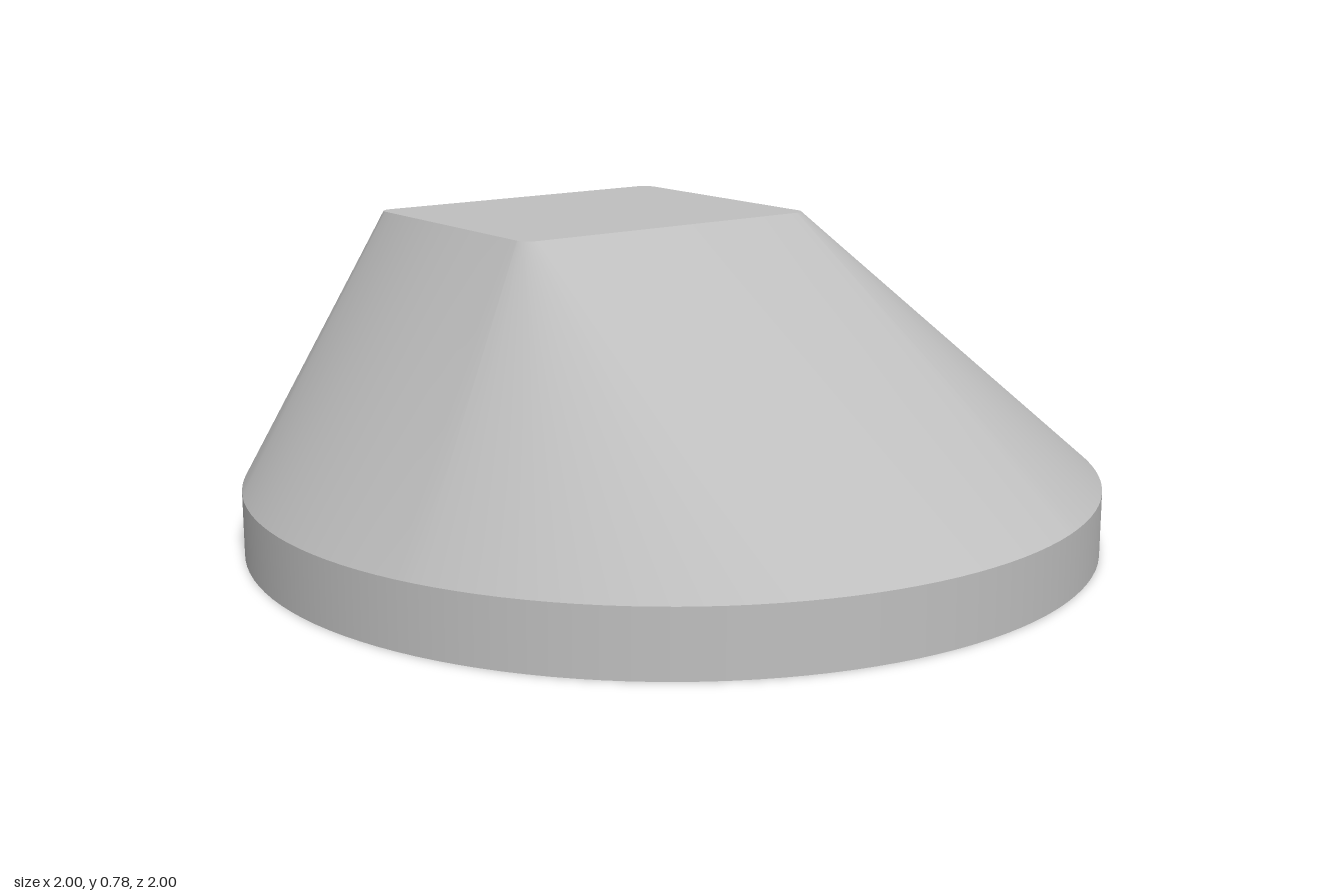
import * as THREE from 'three';

const STEPS = 16; // samples along each straight side and each corner
const BASE_H = 0.15, TOP_Y = 0.78;
const X0 = -0.6, X1 = 0.15, Z = 0.3, R = 0.03;

// Rounded rectangle matched to a circle: eight spans of 45 degrees each
function makeRings() {
  const cx = [X1 - R, X0 + R, X0 + R, X1 - R];
  const cz = [Z - R, Z - R, -Z + R, -Z + R];
  const bottom = [], top = [];
  const onCorner = (k, a) => [cx[k] + R * Math.cos(a), TOP_Y, cz[k] + R * Math.sin(a)];
  for (let k = 0; k < 4; k++) {
    const a0 = k * Math.PI / 2;
    const a1 = a0 + Math.PI / 2;
    const from = onCorner(k, a1), to = onCorner((k + 1) % 4, a1);
    for (let i = 0; i < 2 * STEPS; i++) {
      const angle = a0 + Math.PI / 8 + (i / STEPS) * Math.PI / 4;
      bottom.push([Math.cos(angle), BASE_H, Math.sin(angle)]);
      const s = (i - STEPS) / STEPS;
      top.push(i < STEPS
        ? onCorner(k, a0 + (i / STEPS) * Math.PI / 2)
        : from.map((v, j) => v + (to[j] - v) * s));
    }
  }
  return { bottom, top };
}

function toGeometry(points, index) {
  const g = new THREE.BufferGeometry();
  g.setAttribute('position', new THREE.Float32BufferAttribute(points.flat(), 3));
  g.setIndex(index);
  g.computeVertexNormals();
  return g;
}

export function createModel() {
  const group = new THREE.Group();
  group.name = 'offsetHood';
  const grey = new THREE.MeshStandardMaterial({ color: 0xbfbfbf });
  grey.name = 'grey';
  const add = (name, geometry) => {
    const mesh = new THREE.Mesh(geometry, grey);
    mesh.name = name;
    group.add(mesh);
    return mesh;
  };

  // Round rim with a closed underside
  add('baseRim', new THREE.CylinderGeometry(1, 1, BASE_H, 8 * STEPS)).position.y = BASE_H / 2;

  // Sloping walls from the circle to the off-centre rectangle
  const { bottom, top } = makeRings();
  const n = top.length;
  const walls = [], cap = [];
  for (let i = 0; i < n; i++) {
    const j = (i + 1) % n;
    walls.push(i, n + i, j, j, n + i, n + j);
    cap.push(n, j, i);
  }
  add('slopingWalls', toGeometry([...bottom, ...top], walls));

  // Flat top
  add('flatTop', toGeometry([...top, [(X0 + X1) / 2, TOP_Y, 0]], cap));

  return group;
}
